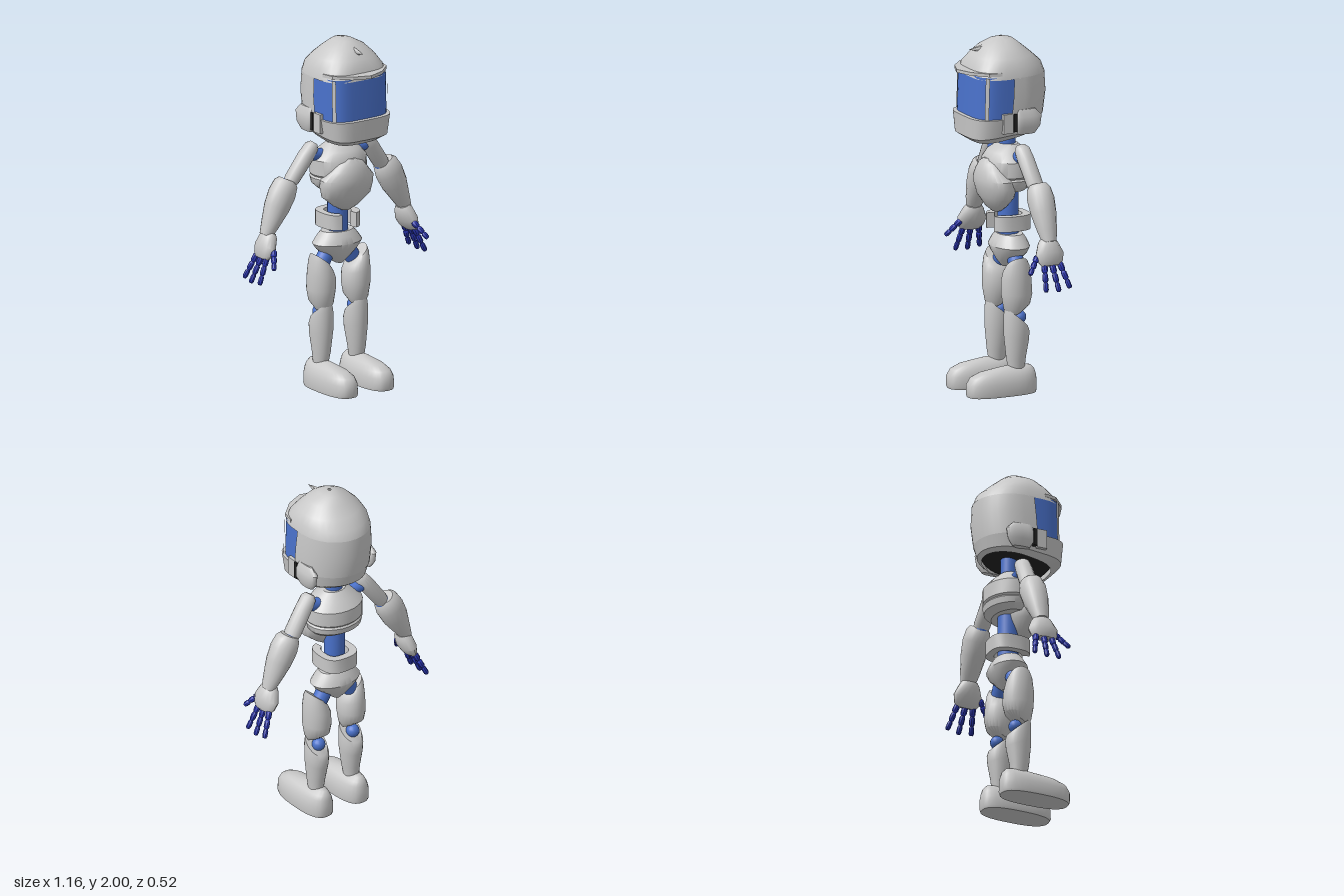
import * as THREE from 'three';
import { toCreasedNormals } from 'three/addons/utils/BufferGeometryUtils.js';

const mat = (name, color, side = THREE.FrontSide) => {
  const m = new THREE.MeshStandardMaterial({ color, side });
  m.name = name;
  return m;
};
const shell = mat('pale grey shell', 0xc8c8c8, THREE.DoubleSide);
const blue = mat('blue joints and visor', 0x4a72cc, THREE.DoubleSide);
const deepBlue = mat('deep blue fingers', 0x2a36b4);
const dark = mat('dark lining', 0x222222, THREE.DoubleSide);

const V = (x, y, z) => new THREE.Vector3(x, y, z);
const rad = THREE.MathUtils.degToRad;

// One cross-section: height, half width, front z, back z.
// o: x centre, p/q front/back roundness, tx/tz slant of the ring
const sec = (y, rx, zf, zb, o = {}) => ({ y, rx, zf, zb, x: 0, p: 1, q: 1, tx: 0, tz: 0, ...o });
const spow = (v, e) => Math.sign(v) * Math.abs(v) ** e;

// Skin over cross-sections, bottom to top; from/to in degrees, 0 = front, 90 = +x
function loft(sections, { from = 0, to = 360, n = 24, caps = true, crease = 0.7 } = {}) {
  const pos = [], idx = [], w = n + 1;
  for (const s of sections) {
    const cz = (s.zf + s.zb) / 2, rz = (s.zf - s.zb) / 2;
    for (let j = 0; j <= n; j++) {
      const a = rad(from + (to - from) * j / n);
      const e = Math.cos(a) > 0 ? s.p : s.q;
      const dx = s.rx * spow(Math.sin(a), e), dz = rz * spow(Math.cos(a), e);
      pos.push(s.x + dx, s.y + s.tx * dx + s.tz * dz, cz + dz);
    }
  }
  for (let i = 0; i < sections.length - 1; i++)
    for (let j = 0; j < n; j++) {
      const a = i * w + j, b = a + w;
      idx.push(a, a + 1, b + 1, a, b + 1, b);
    }
  if (caps) {
    [0, sections.length - 1].forEach((i, top) => {
      const s = sections[i], c = pos.length / 3;
      pos.push(s.x, s.y, (s.zf + s.zb) / 2);
      for (let j = 0; j < n; j++) {
        const a = i * w + j;
        if (top) idx.push(c, a, a + 1); else idx.push(c, a + 1, a);
      }
    });
  }
  const g = new THREE.BufferGeometry();
  g.setAttribute('position', new THREE.Float32BufferAttribute(pos, 3));
  g.setIndex(idx);
  return toCreasedNormals(g, crease);
}

function add(parent, name, geometry, material, position) {
  const m = new THREE.Mesh(geometry, material);
  m.name = name;
  if (position) m.position.copy(position);
  parent.add(m);
  return m;
}

// Place a part modelled along +y so that it runs from a to b
function aim(mesh, a, b) {
  mesh.position.copy(a);
  mesh.quaternion.setFromUnitVectors(V(0, 1, 0), b.clone().sub(a).normalize());
  return mesh;
}

// Tapered limb: list of [fraction along, half width, half depth]
function limb(parent, name, material, a, b, list, n = 16) {
  const len = a.distanceTo(b);
  const g = loft(list.map(([t, rx, rz]) => sec(t * len, rx, rz, -rz)), { n });
  return aim(add(parent, name, g, material), a, b);
}
const rod = (parent, name, material, a, b, r) =>
  limb(parent, name, material, a, b, [[0, r, r], [1, r, r]]);

function buildHead(root) {
  const head = new THREE.Group();
  head.name = 'head';
  root.add(head);

  add(head, 'helmetDome', loft([
    sec(1.795, 0.208, 0.2, -0.256, { p: 0.55 }), sec(1.85, 0.198, 0.19, -0.235, { p: 0.65 }),
    sec(1.90, 0.17, 0.16, -0.18, { p: 0.85 }), sec(1.95, 0.12, 0.115, -0.12),
    sec(1.985, 0.055, 0.06, -0.075), sec(2.0, 0.008, 0.0, -0.02),
  ], { n: 32, caps: false }), shell);
  add(head, 'helmetBack', loft([
    sec(1.565, 0.213, 0.215, -0.245, { p: 0.5 }), sec(1.69, 0.215, 0.207, -0.262, { p: 0.5 }),
    sec(1.8, 0.208, 0.2, -0.256, { p: 0.55 }),
  ], { from: 88, to: 272, n: 20, caps: false }), shell);
  add(head, 'jawGuard', loft([
    sec(1.452, 0.165, 0.17, -0.2, { p: 0.6, tz: -0.16 }), sec(1.478, 0.195, 0.22, -0.225, { p: 0.5, tz: -0.1 }),
    sec(1.572, 0.213, 0.227, -0.246, { p: 0.5 }), sec(1.574, 0.195, 0.195, -0.225, { p: 0.5 }),
  ], { n: 32, caps: false, crease: 0.5 }), shell);
  add(head, 'helmetLining', loft([
    sec(1.475, 0.168, 0.17, -0.2, { p: 0.6, tz: -0.14 }), sec(1.56, 0.19, 0.19, -0.22, { p: 0.5 }),
  ], { n: 32 }), dark);

  // Visor panes and the pillars between them
  const pane = (name, from, to, out, material) => add(head, name, loft([
    sec(1.56, 0.2 + out, 0.205 + out, -0.23, { p: 0.5 }), sec(1.81, 0.2 + out, 0.197 + out, -0.23, { p: 0.5 }),
  ], { from, to, n: 10, caps: false }), material);
  pane('visorFront', -48, 48, 0, blue);
  for (const s of [-1, 1]) {
    const span = (a, b) => s > 0 ? [a, b] : [-b, -a];
    pane('visorSide', ...span(48, 91), 0, blue);
    pane('visorPillar', ...span(46, 56), 0.008, shell);
    // Ear cover with a dark slot ahead of it
    const ear = loft([
      sec(1.48, 0.018, -0.02, -0.12, { x: s * 0.198, p: 0.5 }), sec(1.52, 0.03, 0, -0.15, { x: s * 0.203, p: 0.5 }),
      sec(1.58, 0.03, 0, -0.16, { x: s * 0.203, p: 0.5 }), sec(1.62, 0.012, -0.01, -0.12, { x: s * 0.203, p: 0.5 }),
    ]);
    add(head, 'earCover', ear, shell);
    add(head, 'earSlot', new THREE.BoxGeometry(0.03, 0.1, 0.022), dark, V(s * 0.209, 1.55, 0.008));
    add(head, 'cheekPad', new THREE.BoxGeometry(0.03, 0.11, 0.06), shell, V(s * 0.204, 1.548, 0.05));
  }

  // Pointed brim above the visor
  const brim = new THREE.Shape([
    [-0.2, 0.08], [-0.185, 0.15], [-0.1, 0.225], [0, 0.262], [0.1, 0.225], [0.185, 0.15], [0.2, 0.08],
  ].map(([x, y]) => new THREE.Vector2(x, y)));
  const bg = new THREE.ExtrudeGeometry(brim, { depth: 0.018, bevelEnabled: false }).rotateX(Math.PI / 2);
  add(head, 'brim', bg, shell, V(0, 1.835, 0));
  const crest = new THREE.ConeGeometry(0.05, 0.19, 8).rotateX(Math.PI / 2).scale(0.7, 1, 1);
  add(head, 'crest', crest, shell, V(0, 1.938, 0.092));
  rod(root, 'neck', blue, V(0, 1.34, -0.048), V(0, 1.53, -0.048), 0.048);
}

function buildTorso(root) {
  add(root, 'ribcage', loft([
    sec(1.135, 0.13, 0.05, -0.14), sec(1.165, 0.16, 0.08, -0.182), sec(1.2, 0.168, 0.09, -0.19),
    sec(1.21, 0.16, 0.085, -0.182), sec(1.22, 0.168, 0.09, -0.19), sec(1.305, 0.168, 0.085, -0.19),
    sec(1.35, 0.125, 0.06, -0.15), sec(1.39, 0.07, 0.0, -0.105),
  ], { crease: 0.6 }), shell);
  add(root, 'breastplate', loft([
    sec(1.01, 0.025, 0.04, -0.015), sec(1.04, 0.08, 0.075, -0.035), sec(1.1, 0.155, 0.11, -0.065),
    sec(1.16, 0.167, 0.128, -0.08), sec(1.2, 0.166, 0.133, -0.07), sec(1.25, 0.12, 0.125, -0.03),
    sec(1.29, 0.085, 0.11, 0), sec(1.315, 0.03, 0.09, 0.02),
  ]), shell);
  rod(root, 'spine', blue, V(0, 0.85, -0.055), V(0, 1.2, -0.055), 0.058);

  // Waist band, open at the front
  const band = new THREE.Shape(), pts = [];
  const ring = [[0.11, 0.115, 1], [0.068, 0.072, -1]];
  for (const [rx, rz, d] of ring)
    for (let i = 0; i <= 20; i++) {
      const a = rad(180 - d * (180 - 17 / (d > 0 ? 1 : 0.65)) + d * (360 - 34 / (d > 0 ? 1 : 0.65)) * i / 20);
      pts.push(new THREE.Vector2(rx * spow(Math.sin(a), 0.7), rz * spow(Math.cos(a), 0.7)));
    }
  band.setFromPoints(pts);
  const bandGeo = new THREE.ExtrudeGeometry(band, { depth: 0.085, bevelEnabled: false }).rotateX(Math.PI / 2);
  add(root, 'waistBand', toCreasedNormals(bandGeo, 0.6), shell, V(0, 0.99, -0.056));

  add(root, 'pelvis', loft([
    sec(0.692, 0.02, -0.02, -0.09), sec(0.73, 0.07, 0.01, -0.125), sec(0.78, 0.13, 0.035, -0.155),
    sec(0.812, 0.153, 0.045, -0.165), sec(0.85, 0.125, 0.03, -0.15), sec(0.88, 0.1, 0.01, -0.13),
  ]), shell);
}

function buildArm(root, s) {
  const arm = new THREE.Group();
  arm.name = s > 0 ? 'leftArm' : 'rightArm';
  root.add(arm);
  const P = (x, y, z) => V(s * x, y, z);
  rod(arm, 'shoulderJoint', blue, P(0.08, 1.32, -0.055), P(0.21, 1.345, -0.055), 0.036);
  limb(arm, 'upperArm', shell, P(0.165, 1.405, -0.05), P(0.335, 1.165, -0.075),
    [[0, 0.02, 0.03], [0.08, 0.04, 0.045], [0.3, 0.046, 0.048], [0.8, 0.042, 0.05], [1, 0.03, 0.035]]);
  add(arm, 'elbow', new THREE.SphereGeometry(0.042, 16, 10), blue, P(0.315, 1.19, -0.075));
  limb(arm, 'forearm', shell, P(0.328, 1.215, -0.075), P(0.475, 0.92, -0.075),
    [[0, 0.05, 0.05], [0.07, 0.07, 0.066], [0.25, 0.08, 0.075], [0.5, 0.074, 0.07], [0.8, 0.05, 0.055], [1, 0.034, 0.04]]);
  limb(arm, 'hand', shell, P(0.452, 0.935, -0.07), P(0.505, 0.795, -0.072),
    [[0, 0.03, 0.045], [0.15, 0.043, 0.06], [0.55, 0.045, 0.086], [0.85, 0.035, 0.076], [1, 0.02, 0.06]]);

  // Fingers and thumb, three jointed segments each
  const digits = [
    ['finger', [0.5, 0.81, -0.122], [0.562, 0.672, -0.158]], ['finger', [0.503, 0.805, -0.075], [0.57, 0.66, -0.087]],
    ['finger', [0.5, 0.81, -0.03], [0.565, 0.665, -0.01]], ['thumb', [0.475, 0.85, 0.0], [0.525, 0.762, 0.07]],
  ];
  for (const [name, a, b] of digits) {
    const A = P(...a), B = P(...b);
    for (let i = 0; i < 3; i++) {
      const r = 0.0175 - i * 0.0015;
      limb(arm, name + 'Segment', deepBlue, A.clone().lerp(B, i / 3), A.clone().lerp(B, (i + 1) / 3),
        [[0, r * 0.65, r * 0.65], [0.2, r, r], [0.8, r, r], [1, r * 0.65, r * 0.65]], 8);
    }
  }
}

function buildLeg(root, s) {
  const leg = new THREE.Group();
  leg.name = s > 0 ? 'leftLeg' : 'rightLeg';
  root.add(leg);
  const x = s * 0.118;
  rod(leg, 'hipJoint', blue, V(s * 0.05, 0.79, -0.06), V(s * 0.12, 0.68, -0.06), 0.045);
  add(leg, 'thigh', loft([
    sec(0.455, 0.045, 0.0, -0.09, { x, tz: -0.5 }), sec(0.49, 0.068, 0.025, -0.125, { x, tz: -0.2 }),
    sec(0.56, 0.078, 0.04, -0.138, { x }), sec(0.64, 0.077, 0.04, -0.132, { x, tx: s * 0.2 }),
    sec(0.7, 0.065, 0.03, -0.12, { x: s * 0.122, tx: s * 0.6 }), sec(0.73, 0.05, 0.015, -0.105, { x: s * 0.128, tx: s * 0.8 }),
  ]), shell);
  add(leg, 'knee', new THREE.SphereGeometry(0.038, 16, 10), blue, V(x, 0.425, -0.066));
  add(leg, 'shin', loft([
    sec(0.13, 0.04, 0.0, -0.092, { x: s * 0.122 }), sec(0.2, 0.05, 0.013, -0.1, { x: s * 0.12 }),
    sec(0.31, 0.064, 0.025, -0.118, { x, tz: 0.25 }), sec(0.39, 0.066, 0.025, -0.122, { x, tz: 0.7 }),
    sec(0.425, 0.06, 0.02, -0.112, { x, tz: 0.85 }),
  ]), shell);
  const f = { x: s * 0.123, p: 0.75, q: 0.75 };
  add(leg, 'foot', loft([
    sec(0, 0.083, 0.25, -0.155, f), sec(0.015, 0.086, 0.256, -0.16, f), sec(0.07, 0.083, 0.255, -0.16, f),
    sec(0.105, 0.072, 0.235, -0.155, f), sec(0.13, 0.055, 0.18, -0.148, f), sec(0.15, 0.03, 0.06, -0.13, f),
    sec(0.156, 0.012, 0.03, -0.1, f),
  ], { n: 28, crease: 0.9 }), shell);
}

export function createModel() {
  const root = new THREE.Group();
  root.name = 'robotFigure';
  buildHead(root);
  buildTorso(root);
  for (const s of [-1, 1]) {
    buildArm(root, s);
    buildLeg(root, s);
  }
  return root;
}
